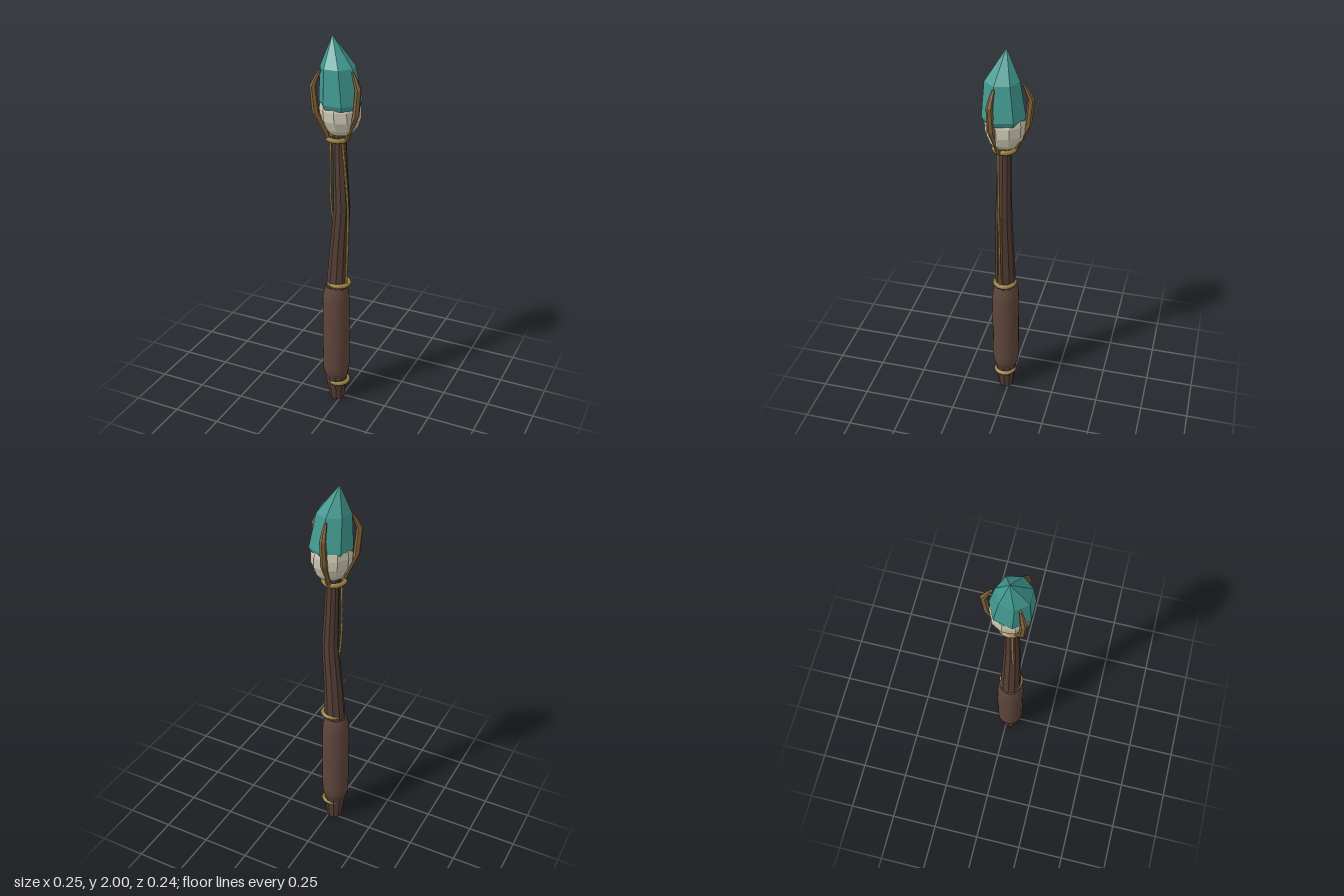
import * as THREE from 'three';
import { toCreasedNormals } from 'three/addons/utils/BufferGeometryUtils.js';

const mat = (name, color) => {
  const m = new THREE.MeshStandardMaterial({ color });
  m.name = name;
  return m;
};

// Skin through horizontal rings given as [y, centreX, centreZ, radius]
function loft(rings, sides, phase = 0, crease = 0) {
  const pos = [], idx = [];
  for (const [y, cx, cz, r] of rings) {
    for (let j = 0; j < sides; j++) {
      const a = phase + (j / sides) * Math.PI * 2;
      pos.push(cx + r * Math.cos(a), y, cz + r * Math.sin(a));
    }
  }
  const last = rings.length - 1, bottom = pos.length / 3, top = bottom + 1;
  for (const k of [0, last]) pos.push(rings[k][1], rings[k][0], rings[k][2]);
  for (let j = 0; j < sides; j++) {
    const n = (j + 1) % sides;
    for (let i = 0; i < last; i++) {
      const a = i * sides + j, b = i * sides + n;
      idx.push(a, a + sides, b, b, a + sides, b + sides);
    }
    idx.push(bottom, j, n, top, last * sides + n, last * sides + j);
  }
  const g = new THREE.BufferGeometry();
  g.setAttribute('position', new THREE.Float32BufferAttribute(pos, 3));
  g.setIndex(idx);
  if (crease) return toCreasedNormals(g, crease);
  const flat = g.toNonIndexed();
  flat.computeVertexNormals();
  return flat;
}

export function createModel() {
  const wood = mat('dark wood', 0x533d35);
  const leather = mat('grip leather', 0x5e453b);
  const gold = mat('gold', 0x97803f);
  const bronze = mat('bronze', 0x80623a);
  const bone = mat('bone', 0xcfc9b3);
  const teal = mat('teal crystal', 0x429a91);

  const staff = new THREE.Group();
  staff.name = 'staff';
  const add = (name, geometry, material) => {
    const m = new THREE.Mesh(geometry, material);
    m.name = name;
    staff.add(m);
    return m;
  };

  // Gently bent wooden shaft
  add('shaft', loft([
    [0, -0.024, 0.018, 0.04],
    [0.14, -0.027, 0.02, 0.058],
    [0.68, -0.024, 0.02, 0.056],
    [0.9, -0.012, 0.02, 0.048],
    [1.14, 0.006, 0.02, 0.042],
    [1.36, -0.003, 0.02, 0.036],
    [1.57, -0.008, 0.02, 0.034],
  ], 10), wood);

  // Wrapped grip with rounded ends
  add('grip', loft([
    [0.145, 0.055], [0.155, 0.062], [0.185, 0.069], [0.22, 0.071],
    [0.6, 0.071], [0.645, 0.068], [0.695, 0.056],
  ].map(([y, r]) => [y, -0.028, 0.02, r]), 20, 0, 0.9), leather);

  // Metal bands
  for (const [name, y, x, r, tilt] of [
    ['lowerBand', 0.115, -0.013, 0.05, 0],
    ['middleBand', 0.715, -0.01, 0.052, 0],
    ['collar', 1.505, -0.015, 0.052, 0],
  ]) {
    const band = add(name, new THREE.TorusGeometry(r, 0.012, 6, 16), gold);
    band.rotation.x = Math.PI / 2 + tilt;
    band.position.set(x, y, 0.02);
  }

  // Thin wires running along the shaft
  const wires = [
    [[0.036, 0.72, 0.034], [0.043, 0.95, 0.034], [0.045, 1.15, 0.036], [0.02, 1.5, 0.045]],
    [[-0.03, 1.02, 0.035], [-0.046, 1.15, 0.035], [-0.052, 1.3, 0.034], [-0.05, 1.5, 0.03]],
  ];
  wires.forEach((pts, i) => {
    const path = new THREE.CatmullRomCurve3(pts.map(p => new THREE.Vector3(...p)));
    add('wire' + (i + 1), new THREE.TubeGeometry(path, 10, 0.006, 5), gold);
  });

  // Bone socket holding the crystal
  add('socket', loft([
    [1.535, 0, 0.015, 0.062],
    [1.56, 0, 0.015, 0.08],
    [1.605, -0.003, 0.015, 0.098],
    [1.655, -0.006, 0.015, 0.1],
    [1.69, -0.009, 0.014, 0.092],
  ], 10, 0.2), bone);

  // Seven-sided crystal leaning toward its off-centre point
  add('crystal', loft([
    [1.665, 0, 0.02, 0.096],
    [1.69, 0, 0.02, 0.107],
    [1.86, -0.01, 0.03, 0.085],
    [2, -0.043, 0.018, 0.0015],
  ], 7, -Math.PI / 2), teal);

  // Three curved claws around the crystal
  const claws = [['backClaw', -0.09, -1], ['rightClaw', -0.8, 0.6], ['leftClaw', 0.94, 0.33]];
  for (const [name, dx, dz] of claws) {
    const rings = [
      [1.5, 0.05, 0.012], [1.545, 0.066, 0.015], [1.64, 0.112, 0.017],
      [1.77, 0.125, 0.016], [1.815, 0.106, 0.012], [1.845, 0.09, 0.007],
    ].map(([y, d, r]) => [y, -0.01 + dx * d, 0.02 + dz * d, r]);
    add(name, loft(rings, 6, Math.atan2(dz, dx)), bronze);
  }
  return staff;
}
